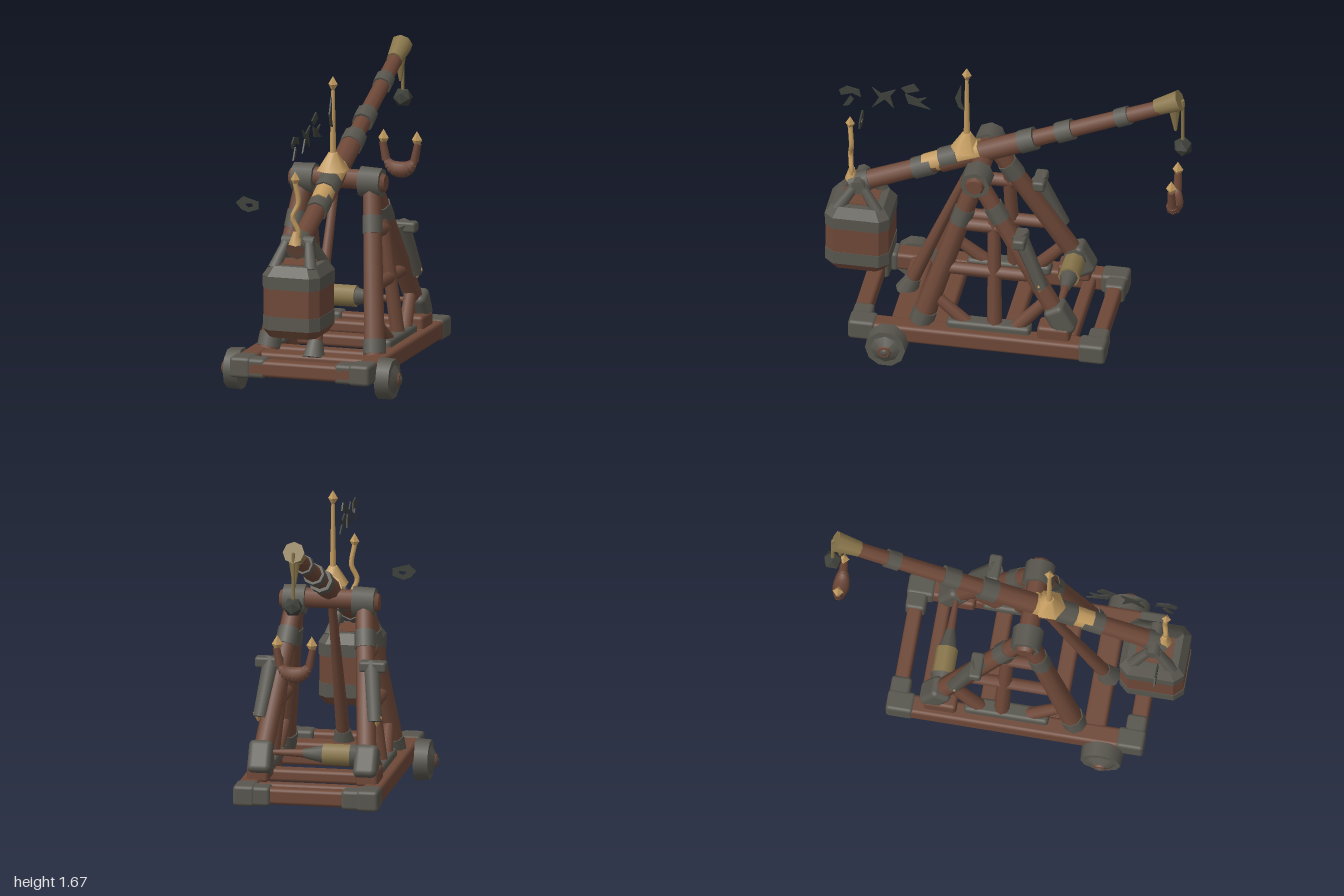
import * as THREE from 'three';
import { RoundedBoxGeometry } from 'three/addons/geometries/RoundedBoxGeometry.js';

const material = (name, color, side = THREE.FrontSide) => {
  const m = new THREE.MeshStandardMaterial({ color, side });
  m.name = name;
  return m;
};

export function createModel() {
  const wood = material('brown wood', 0x6e4838);
  const iron = material('grey iron', 0x58564e);
  const gold = material('pale gold', 0xc49c60);
  const ochre = material('ochre', 0x8a774c);
  const dark = material('dark shards', 0x3e403a, THREE.DoubleSide);
  const model = new THREE.Group();
  model.name = 'trebuchet';
  const V = (p) => new THREE.Vector3(...p);

  const add = (name, geometry, mat, parent = model) => {
    const mesh = new THREE.Mesh(geometry, mat);
    mesh.name = name;
    parent.add(mesh);
    return mesh;
  };
  // Tapered round bar from a to b
  const bar = (name, a, b, r0, r1, mat, sides = 8) => {
    const A = V(a), B = V(b), d = B.clone().sub(A);
    const mesh = add(name, new THREE.CylinderGeometry(r1, r0, d.length(), sides), mat);
    mesh.position.copy(A).lerp(B, 0.5);
    mesh.quaternion.setFromUnitVectors(new THREE.Vector3(0, 1, 0), d.normalize());
    return mesh;
  };
  const mix = (a, b, t) => V(a).lerp(V(b), t).toArray();
  // Iron collars along a bar, each given as [start, end, radius]
  const collars = (name, a, b, list) => list.forEach(([t0, t1, r]) =>
    bar(name, mix(a, b, t0), mix(a, b, t1), r, r, iron));
  const block = (name, size, pos, mat, radius = 0.02) => {
    const mesh = add(name, new RoundedBoxGeometry(...size, 2, radius), mat);
    mesh.position.set(...pos);
    return mesh;
  };
  // Diamond stretched upward
  const diamond = (name, pos, r, h) => {
    const mesh = add(name, new THREE.OctahedronGeometry(1, 0), gold);
    mesh.scale.set(r, h, r);
    mesh.position.set(...pos);
  };
  // Flat plate from outline points; upright in the z-y plane unless facing front
  const plate = (name, points, offset, frontFacing = false, hole) => {
    const shape = new THREE.Shape(points.map(([u, v]) => new THREE.Vector2(frontFacing ? u : -u, v)));
    if (hole) shape.holes.push(new THREE.Path(hole.map(([u, v]) => new THREE.Vector2(u, v))));
    const mesh = add(name, new THREE.ExtrudeGeometry(shape, { depth: 0.008, bevelEnabled: false }), dark);
    if (frontFacing) mesh.position.z = offset;
    else { mesh.rotation.y = Math.PI / 2; mesh.position.x = offset; }
  };

  // Base frame cross beams
  for (const [z, w, h] of [[0.77, 0.09, 0.09], [-0.53, 0.08, 0.09], [-0.38, 0.07, 0.07],
    [-0.05, 0.09, 0.07], [0.33, 0.09, 0.07], [0.54, 0.12, 0.09]])
    block('crossBeam', [0.66, h, w], [0, 0.165, z], wood);

  // Point on a leaning side frame: x follows from the height
  for (const s of [1, -1]) {
    const P = (y, z) => [s * (0.3 - 0.125 * (y - 0.22)), y, z];

    // Side rail with corner sleeves
    block('sideRail', [0.11, 0.1, 1.38], [s * 0.34, 0.165, 0.12], wood);
    for (const z of [0.745, -0.515]) {
      block('cornerSleeve', [0.12, 0.115, 0.15], [s * 0.338, 0.165, z], iron);
      block('cornerSleeve', [0.11, 0.108, 0.11], [s * 0.25, 0.165, z + Math.sign(z) * 0.015], iron);
    }
    // Wheel with pointed hub
    bar('wheel', [s * 0.39, 0.115, 0.6], [s * 0.47, 0.115, 0.6], 0.115, 0.11, iron, 10);
    bar('wheelHub', [s * 0.465, 0.115, 0.6], [s * 0.512, 0.115, 0.6], 0.09, 0.01, iron, 8);
    bar('hubDisc', [s * 0.47, 0.115, 0.6], [s * 0.505, 0.115, 0.6], 0.05, 0.032, wood, 8);

    // Front leg
    const top = P(1.1, 0.15), frontFoot = P(0.19, 0.44);
    bar('frontLeg', frontFoot, top, 0.06, 0.05, wood);
    collars('frontLegCollar', frontFoot, top, [[0.02, 0.1, 0.066], [0.7, 0.8, 0.057]]);
    // Rear leg with foot block and side guard
    const rearFoot = P(0.27, -0.35);
    bar('rearLeg', rearFoot, top, 0.055, 0.05, wood);
    collars('rearLegCollar', rearFoot, top, [[0.72, 0.82, 0.058]]);
    const foot = block('rearFootSleeve', [0.13, 0.18, 0.12], [s * 0.29, 0.32, -0.33], iron, 0.03);
    foot.rotation.x = 0.5;
    block('rearFootBase', [0.12, 0.09, 0.18], [s * 0.3, 0.24, -0.3], wood);
    bar('sideGuard', [s * 0.315, 0.52, -0.23], [s * 0.275, 0.82, -0.1], 0.04, 0.045, iron, 6);
    block('guardCap', [0.15, 0.06, 0.07], [s * 0.285, 0.8, -0.11], iron, 0.015);
    diamond('guardStud', [s * 0.325, 0.54, -0.22], 0.03, 0.05);
    // Inner bracing
    bar('innerPost', P(0.2, 0.03), P(0.87, 0.05), 0.042, 0.035, wood);
    bar('middleTie', P(0.55, 0.33), P(0.55, -0.18), 0.035, 0.035, wood);
    bar('upperTie', P(0.82, 0.24), P(0.82, -0.03), 0.037, 0.037, wood);
    bar('footBrace', P(0.2, -0.06), P(0.4, -0.24), 0.04, 0.035, wood);
    bar('footBrace', P(0.2, 0.15), P(0.38, 0.37), 0.04, 0.03, wood);
    block('innerSill', [0.09, 0.06, 0.46], [s * 0.3, 0.225, 0.06], iron);
    // Axle bearing
    bar('bearing', [s * 0.13, 1.09, 0.15], [s * 0.25, 1.09, 0.15], 0.085, 0.08, iron);
    bar('bearingCap', [s * 0.24, 1.09, 0.15], [s * 0.272, 1.09, 0.15], 0.06, 0.045, wood);
  }
  bar('mainAxle', [-0.2, 1.1, 0.15], [0.2, 1.1, 0.15], 0.055, 0.055, wood);

  // Central prop
  bar('prop', [0, 0.19, 0.57], [0, 1.08, 0.2], 0.04, 0.022, wood);
  bar('propFoot', [0, 0.19, 0.57], [0, 0.28, 0.533], 0.065, 0.042, iron);

  // Winch
  bar('winchDrum', [-0.21, 0.35, -0.31], [-0.05, 0.35, -0.31], 0.06, 0.06, ochre);
  bar('winchSleeve', [-0.3, 0.35, -0.31], [-0.2, 0.35, -0.31], 0.045, 0.065, iron);
  bar('winchHub', [-0.05, 0.35, -0.31], [0.06, 0.35, -0.31], 0.05, 0.025, iron);
  bar('winchShaft', [0.05, 0.35, -0.31], [0.27, 0.35, -0.31], 0.024, 0.012, wood);

  // Throwing arm
  const armAt = (z, lift = 0) => [0, 1.15 + 0.42 * (0.15 - z) + lift, z];
  const armFront = armAt(0.87), armBack = armAt(-0.84);
  bar('arm', armFront, armBack, 0.055, 0.042, wood);
  bar('armWaist', armAt(0.38), armAt(-0.08), 0.062, 0.06, wood);
  collars('armCollar', armFront, armBack,
    [[0, 0.06, 0.06], [0.2, 0.26, 0.062], [0.54, 0.59, 0.066], [0.66, 0.71, 0.06], [0.85, 0.89, 0.054]]);
  bar('armTip', armAt(-0.8, 0.01), armAt(-0.93, 0.015), 0.045, 0.06, ochre);
  bar('tipSpike', [0, 1.6, -0.895], [0, 1.42, -0.905], 0.04, 0.008, ochre, 6);

  // Hanging ball
  bar('ballRope', [0, 1.62, -0.945], [0, 1.36, -0.945], 0.01, 0.01, ochre, 5);
  const ball = add('ball', new THREE.IcosahedronGeometry(0.055, 0), dark);
  ball.position.set(0, 1.32, -0.945);

  // Crescent sling, thick in the middle and tapering to gold tips
  let last = null;
  const steps = 10;
  for (let i = 0; i <= steps; i++) {
    const a = Math.PI * (1.12 + 0.76 * i / steps);
    const here = [Math.cos(a) * 0.085, 1.02 + Math.sin(a) * 0.09, -0.9];
    const r = 0.018 + 0.027 * Math.sin(Math.PI * i / steps);
    if (last) bar('sling', last.here, here, last.r, r, wood);
    last = { here, r };
  }
  for (const s of [1, -1]) {
    bar('slingHorn', [s * 0.08, 0.98, -0.9], [s * 0.1, 1.08, -0.9], 0.024, 0.02, wood, 6);
    diamond('slingTip', [s * 0.095, 1.1, -0.9], 0.03, 0.05);
  }

  // Counterweight: stacked layers, square in plan with cut corners
  const layer = (name, y0, w0, y1, w1, mat) => {
    const g = new THREE.CylinderGeometry(1, 1, y1 - y0, 8).toNonIndexed();
    g.rotateY(Math.PI / 8);
    const p = g.attributes.position;
    const square = (v) => Math.abs(v) < 0.01 ? 0 : Math.sign(v) * (Math.abs(v) > 0.6 ? 1 : 0.72);
    for (let i = 0; i < p.count; i++) {
      const w = p.getY(i) > 0 ? w1 : w0;
      p.setX(i, square(p.getX(i)) * w * 0.92);
      p.setZ(i, square(p.getZ(i)) * w);
    }
    g.computeVertexNormals();
    add(name, g, mat).position.set(0, (y0 + y1) / 2, 0.82);
  };
  layer('weightBottom', 0.38, 0.145, 0.425, 0.176, wood);
  layer('weightLowerBand', 0.425, 0.176, 0.5, 0.176, iron);
  layer('weightBody', 0.5, 0.173, 0.65, 0.173, wood);
  layer('weightUpperBand', 0.65, 0.176, 0.72, 0.178, iron);
  layer('weightTop', 0.72, 0.178, 0.775, 0.14, iron);
  layer('weightLid', 0.77, 0.1, 0.78, 0.1, wood);
  for (const sx of [1, -1]) for (const sz of [1, -1])
    bar('hanger', [sx * 0.105, 0.75, 0.82 + sz * 0.11], [sx * 0.065, 0.88, 0.82 + sz * 0.02], 0.035, 0.026, iron, 6);
  bar('hangerPin', [-0.09, 0.88, 0.82], [0.09, 0.88, 0.82], 0.04, 0.04, iron);

  // Gold saddle and its finial
  bar('saddle', armAt(0.47, 0.014), armAt(0.16, 0.014), 0.055, 0.064, gold);
  collars('saddleBand', armAt(0.47, 0.016), armAt(0.16, 0.016), [[0.3, 0.6, 0.066]]);
  bar('finialBase', [0, 1.16, 0.24], [0, 1.26, 0.24], 0.09, 0.025, gold, 6);
  bar('finialStem', [0, 1.24, 0.24], [0, 1.6, 0.24], 0.018, 0.01, gold, 6);
  diamond('finialTip', [0, 1.635, 0.24], 0.027, 0.045);
  plate('finialBlade', [[0.305, 1.48], [0.27, 1.57], [0.272, 1.46], [0.25, 1.4], [0.285, 1.42]], -0.004);

  // Wavy front finial
  const wave = [[0, 0.87, 0.87], [0.015, 0.95, 0.87], [-0.015, 1.03, 0.88], [0.015, 1.11, 0.87], [0, 1.22, 0.88]];
  add('frontFinialStem', new THREE.TubeGeometry(new THREE.CatmullRomCurve3(wave.map(V)), 16, 0.014, 6), gold);
  diamond('frontFinialTip', [0, 1.24, 0.88], 0.026, 0.045);
  bar('frontFinialBase', [0, 0.88, 0.87], [0, 0.95, 0.87], 0.04, 0.016, gold, 6);

  // Floating shards
  const shards = [
    [[0.94, 1.45], [0.9, 1.48], [0.83, 1.465], [0.82, 1.42], [0.87, 1.44], [0.93, 1.42]],
    [[0.92, 1.35], [0.88, 1.42], [0.86, 1.4], [0.885, 1.36]],
    [[0.76, 1.49], [0.71, 1.455], [0.63, 1.49], [0.66, 1.445], [0.64, 1.37], [0.69, 1.42], [0.76, 1.36], [0.72, 1.43]],
    [[0.6, 1.505], [0.53, 1.54], [0.5, 1.5], [0.57, 1.475]],
    [[0.58, 1.47], [0.51, 1.445], [0.46, 1.46], [0.5, 1.425], [0.44, 1.385], [0.56, 1.41]],
  ];
  shards.forEach((points) => plate('shard', points, -0.004));
  plate('ringShard', [[-0.34, 1.09], [-0.3, 1.125], [-0.21, 1.1], [-0.21, 1.06], [-0.27, 1.04], [-0.31, 1.055]],
    0.866, true, [[-0.29, 1.085], [-0.25, 1.09], [-0.24, 1.075], [-0.27, 1.065]]);

  return model;
}
